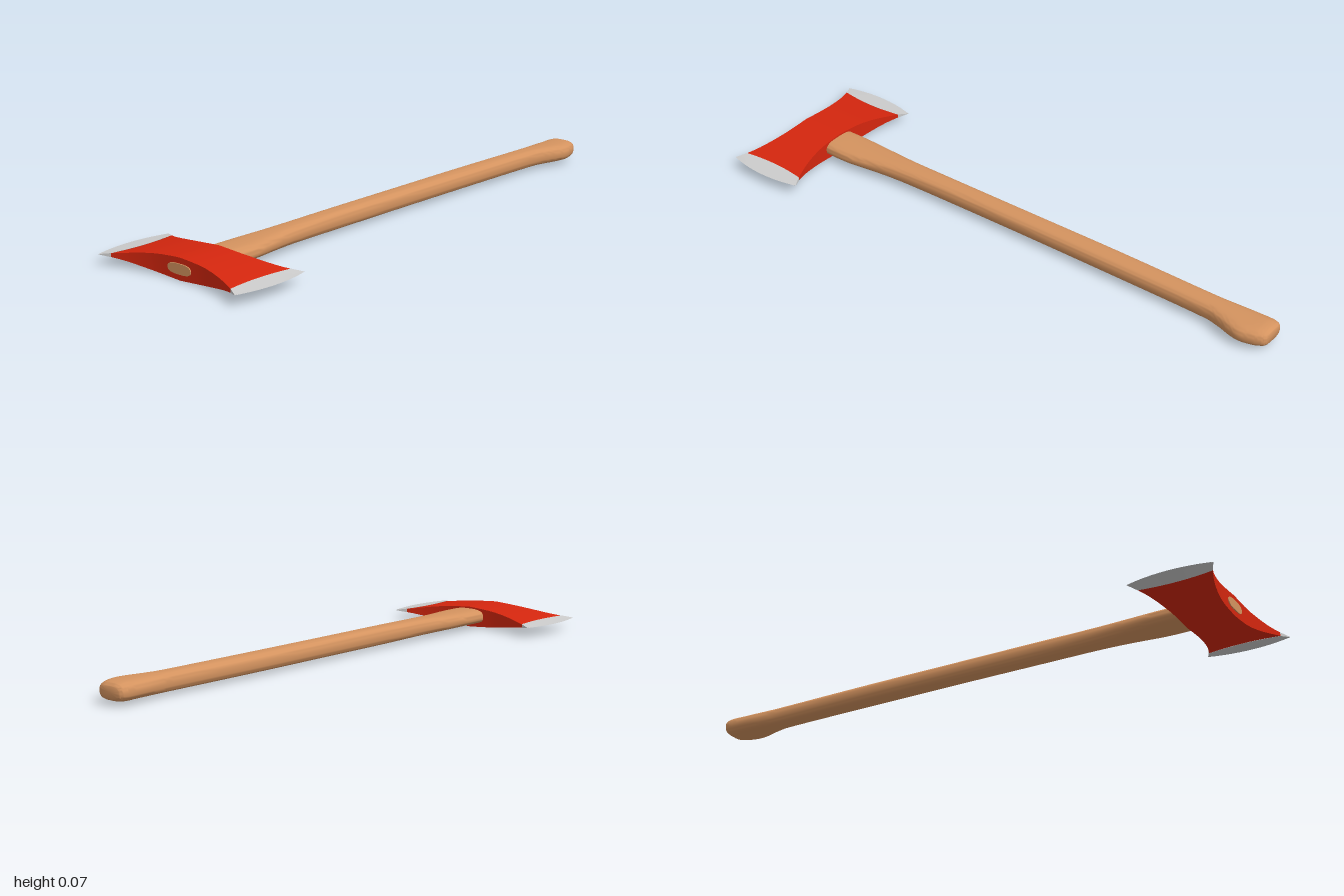
import * as THREE from 'three';
import { toCreasedNormals } from 'three/addons/utils/BufferGeometryUtils.js';

const HEAD_X = -0.857, MID_Y = 0.037;

// Skin closed rings (counter-clockwise about the direction of travel) and cap both ends.
function loft(rings, crease) {
  const n = rings[0].length, pos = [];
  const tri = (...pts) => pts.forEach(p => pos.push(p.x, p.y, p.z));
  for (let i = 0; i < rings.length - 1; i++) {
    for (let j = 0; j < n; j++) {
      const k = (j + 1) % n, a = rings[i], b = rings[i + 1];
      tri(a[j], a[k], b[k]);
      tri(a[j], b[k], b[j]);
    }
  }
  for (const [ring, last] of [[rings[0], false], [rings[rings.length - 1], true]]) {
    const c = ring.reduce((s, p) => s.add(p), new THREE.Vector3()).divideScalar(n);
    for (let j = 0; j < n; j++) {
      const k = (j + 1) % n;
      if (last) tri(c, ring[j], ring[k]);
      else tri(c, ring[k], ring[j]);
    }
  }
  const geometry = new THREE.BufferGeometry();
  geometry.setAttribute('position', new THREE.Float32BufferAttribute(pos, 3));
  return toCreasedNormals(geometry, crease);
}

// Flat ring across the head: z may bow with u (-1..1 across the width).
function headRing(halfWidth, halfHeight, zAt) {
  const N = 16, ring = [];
  for (const side of [1, -1]) {
    for (let i = 0; i <= N; i++) {
      const u = side * (1 - 2 * i / N);
      ring.push(new THREE.Vector3(u * halfWidth, side * halfHeight, zAt(u)));
    }
  }
  return ring;
}

const rimZ = u => 0.247 + 0.011 * u * u;   // where paint meets steel
const edgeZ = u => 0.315 - 0.021 * u * u;  // cutting edge

// Handle: smooth sections of x, back z, front z, bottom y, top y
function handleGeometry() {
  const sections = [
    [-0.941, -0.050, 0.048, 0.020, 0.054],
    [-0.86, -0.055, 0.058, 0.017, 0.060],
    [-0.78, -0.059, 0.072, 0.015, 0.067],
    [-0.68, -0.059, 0.072, 0.015, 0.068],
    [-0.58, -0.053, 0.056, 0.014, 0.069],
    [-0.46, -0.046, 0.043, 0.013, 0.071],
    [-0.25, -0.045, 0.035, 0.011, 0.073],
    [0.05, -0.048, 0.031, 0.011, 0.073],
    [0.40, -0.052, 0.030, 0.011, 0.073],
    [0.74, -0.050, 0.031, 0.011, 0.073],
    [0.82, -0.053, 0.041, 0.011, 0.073],
    [0.88, -0.058, 0.060, 0.011, 0.073],
    [0.92, -0.060, 0.066, 0.011, 0.073],
    [0.96, -0.061, 0.057, 0.011, 0.073],
    [0.98, -0.060, 0.049, 0.013, 0.071],
    [0.994, -0.055, 0.041, 0.017, 0.067],
    [1.0, -0.046, 0.031, 0.024, 0.060],
  ];
  const curve = (a, b) => new THREE.CatmullRomCurve3(
    sections.map(s => new THREE.Vector3(s[0], s[a], s[b])), false, 'catmullrom', 0.5);
  const widths = curve(1, 2), heights = curve(3, 4);
  const steps = (sections.length - 1) * 4, sides = 32, rings = [];
  const soft = v => Math.sign(v) * Math.abs(v) ** 0.7;
  for (let i = 0; i <= steps; i++) {
    const w = widths.getPoint(i / steps), h = heights.getPoint(i / steps);
    const ring = [];
    for (let j = 0; j < sides; j++) {
      const a = j / sides * Math.PI * 2;
      ring.push(new THREE.Vector3(w.x,
        (h.y + h.z) / 2 + soft(Math.cos(a)) * (h.z - h.y) / 2,
        (w.y + w.z) / 2 + soft(Math.sin(a)) * (w.z - w.y) / 2));
    }
    rings.push(ring);
  }
  return loft(rings, 0.9);
}

// Painted body: z, half width, half height, mirrored front to back
function bodyGeometry() {
  const half = [
    [0, 0.081, 0.036], [0.04, 0.081, 0.0335], [0.08, 0.082, 0.0305],
    [0.115, 0.085, 0.027], [0.15, 0.091, 0.0225], [0.18, 0.0975, 0.018],
    [0.21, 0.106, 0.013], [0.235, 0.115, 0.009],
  ];
  const rings = [];
  const add = ([z, w, h], s) => rings.push(headRing(w, h, () => s * z));
  rings.push(headRing(0.124, 0.006, u => -rimZ(u)));
  half.slice(1).reverse().forEach(r => add(r, -1));
  half.forEach(r => add(r, 1));
  rings.push(headRing(0.124, 0.006, rimZ));
  return loft(rings, 0.5);
}

// Bare steel bit tapering to the curved edge
function bitGeometry() {
  const rings = [];
  for (let i = 0; i <= 4; i++) {
    const t = i / 4;
    rings.push(headRing(0.124 + 0.019 * t, 0.006 * (1 - t) + 0.0006,
      u => THREE.MathUtils.lerp(rimZ(u), edgeZ(u), t)));
  }
  return loft(rings, 0.5);
}

export function createModel() {
  const model = new THREE.Group();
  model.name = 'doubleBitAxe';
  const wood = new THREE.MeshStandardMaterial({ color: 0xd4935f });
  const paint = new THREE.MeshStandardMaterial({ color: 0xd4260e });
  const steel = new THREE.MeshStandardMaterial({ color: 0xcccccc });
  const part = (name, geometry, material, parent) => {
    const mesh = new THREE.Mesh(geometry, material);
    mesh.name = name;
    parent.add(mesh);
    return mesh;
  };

  part('handle', handleGeometry(), wood, model);

  const head = new THREE.Group();
  head.name = 'axeHead';
  head.position.set(HEAD_X, MID_Y, 0);
  model.add(head);
  part('headBody', bodyGeometry(), paint, head);
  const bit = bitGeometry();
  part('frontBit', bit, steel, head);
  part('backBit', bit, steel, head).rotation.y = Math.PI;
  return model;
}
